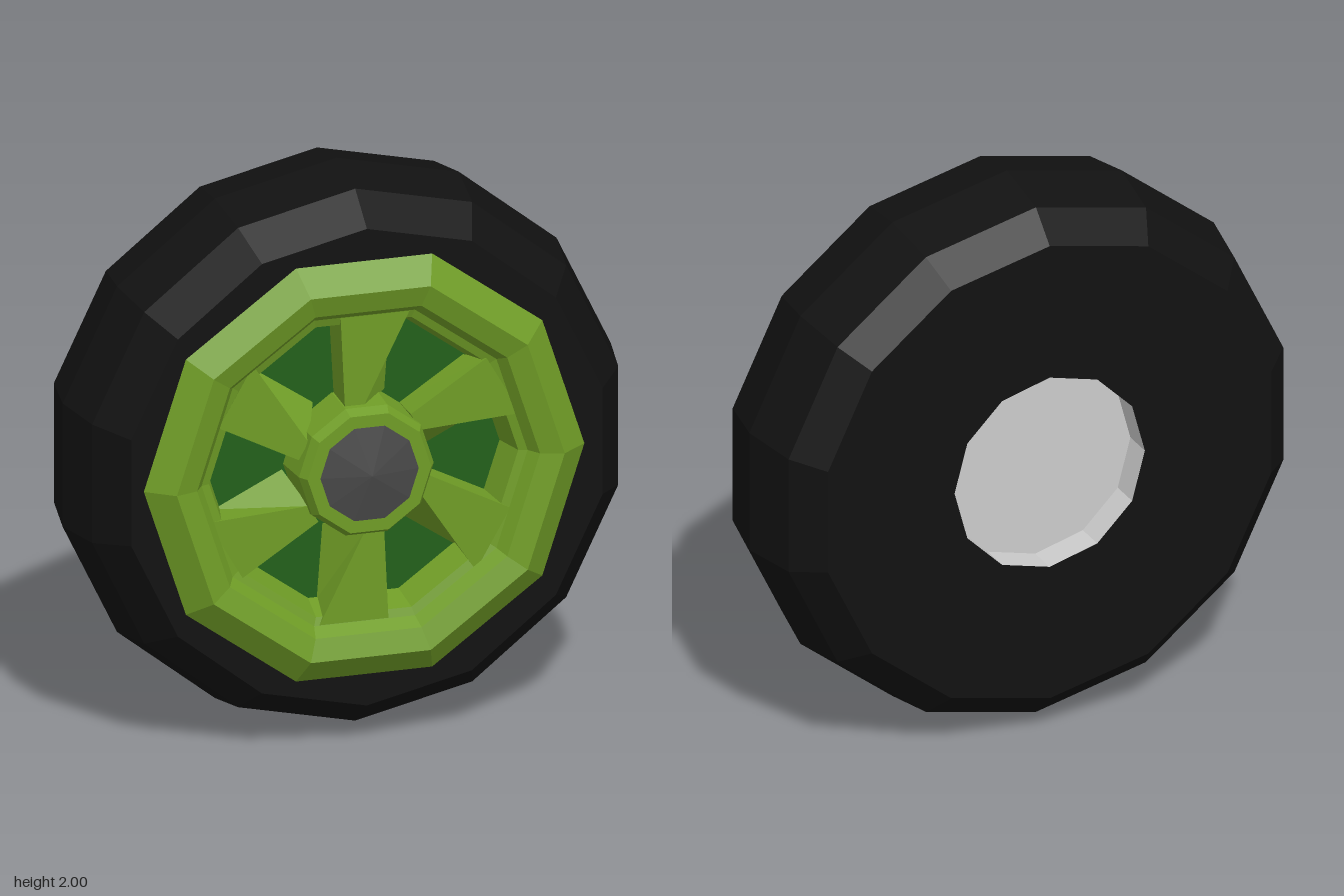
import * as THREE from 'three';

const material = (color) => new THREE.MeshStandardMaterial({ color, flatShading: true });
const rubber = material(0x111111);
const green = material(0x6f9c26);
const darkGreen = material(0x22601a);
const capGrey = material(0x484848);
const grey = material(0xcccccc);

// Faceted ring or disc turned about the z axis from [radius, z] pairs
function turned(name, profile, sides, mat, spin = 0) {
  const points = profile.map(([r, z]) => new THREE.Vector2(r, z));
  const geometry = new THREE.LatheGeometry(points, sides).rotateX(Math.PI / 2).rotateZ(spin);
  const mesh = new THREE.Mesh(geometry, mat);
  mesh.name = name;
  return mesh;
}

function polygon(radius, sides) {
  return Array.from({ length: sides }, (_, i) => {
    const a = -Math.PI / 2 + (i / sides) * Math.PI * 2;
    return new THREE.Vector2(radius * Math.cos(a), radius * Math.sin(a));
  });
}

// Tapered, slanted spoke: wide at the rim, with one sloping flank
function spokeGeometry() {
  const front = [[-0.07, 0.23], [0, 0.23], [0.16, 0.55], [-0.085, 0.55]];
  const back = [[-0.07, 0.23], [0.11, 0.23], [0.13, 0.5], [-0.085, 0.5]];
  const corners = [
    ...front.map(([x, y]) => [x, y, 0.29]),
    ...back.map(([x, y]) => [x, y, 0.165]),
  ];
  const index = [0, 1, 2, 0, 2, 3];
  for (let i = 0; i < 4; i++) {
    const j = (i + 1) % 4;
    index.push(i, i + 4, j + 4, i, j + 4, j);
  }
  const geometry = new THREE.BufferGeometry();
  geometry.setAttribute('position', new THREE.Float32BufferAttribute(corners.flat(), 3));
  geometry.setIndex(index);
  geometry.computeVertexNormals();
  return geometry;
}

export function createModel() {
  const model = new THREE.Group();
  model.name = 'wheel';

  // Tyre tread and front sidewall
  model.add(turned('tyre', [
    [0.86, -0.375], [0.96, -0.27], [1, -0.05], [0.96, 0.155], [0.86, 0.285], [0.72, 0.285],
  ], 14, rubber));

  // Flat back sidewall with a round opening
  const wall = new THREE.Shape(polygon(0.86, 14));
  wall.holes.push(new THREE.Path(polygon(0.36, 12)));
  const backSidewall = new THREE.Mesh(new THREE.ShapeGeometry(wall).rotateY(Math.PI), rubber);
  backSidewall.name = 'backSidewall';
  backSidewall.position.z = -0.375;
  model.add(backSidewall);

  // Recessed axle socket in the back
  model.add(turned('axleSocket', [[0, -0.265], [0.36, -0.265], [0.36, -0.375]], 12, grey));

  // Ten-sided rim with its plate, hub and cap
  const rim = new THREE.Group();
  rim.name = 'rimAssembly';
  rim.position.x = -0.01;
  const spin = Math.PI / 2;
  rim.add(
    turned('rim', [
      [0.79, 0.28], [0.69, 0.36], [0.61, 0.335], [0.58, 0.29], [0.55, 0.28], [0.52, 0.165],
    ], 10, green, spin),
    turned('backPlate', [[0.53, 0.165], [0, 0.165]], 10, darkGreen, spin),
    turned('hub', [
      [0.25, 0.165], [0.24, 0.31], [0.22, 0.345], [0.17, 0.345],
    ], 10, green, spin),
    turned('hubCap', [[0.175, 0.346], [0, 0.378]], 10, capGrey, spin),
  );

  // Six pinwheel spokes
  const spokeShape = spokeGeometry();
  for (let i = 0; i < 6; i++) {
    const spoke = new THREE.Mesh(spokeShape, green);
    spoke.name = 'spoke';
    spoke.rotation.z = (i * Math.PI) / 3;
    rim.add(spoke);
  }
  model.add(rim);

  model.position.y = 1;
  const root = new THREE.Group();
  root.name = 'wheelModel';
  root.add(model);
  return root;
}
